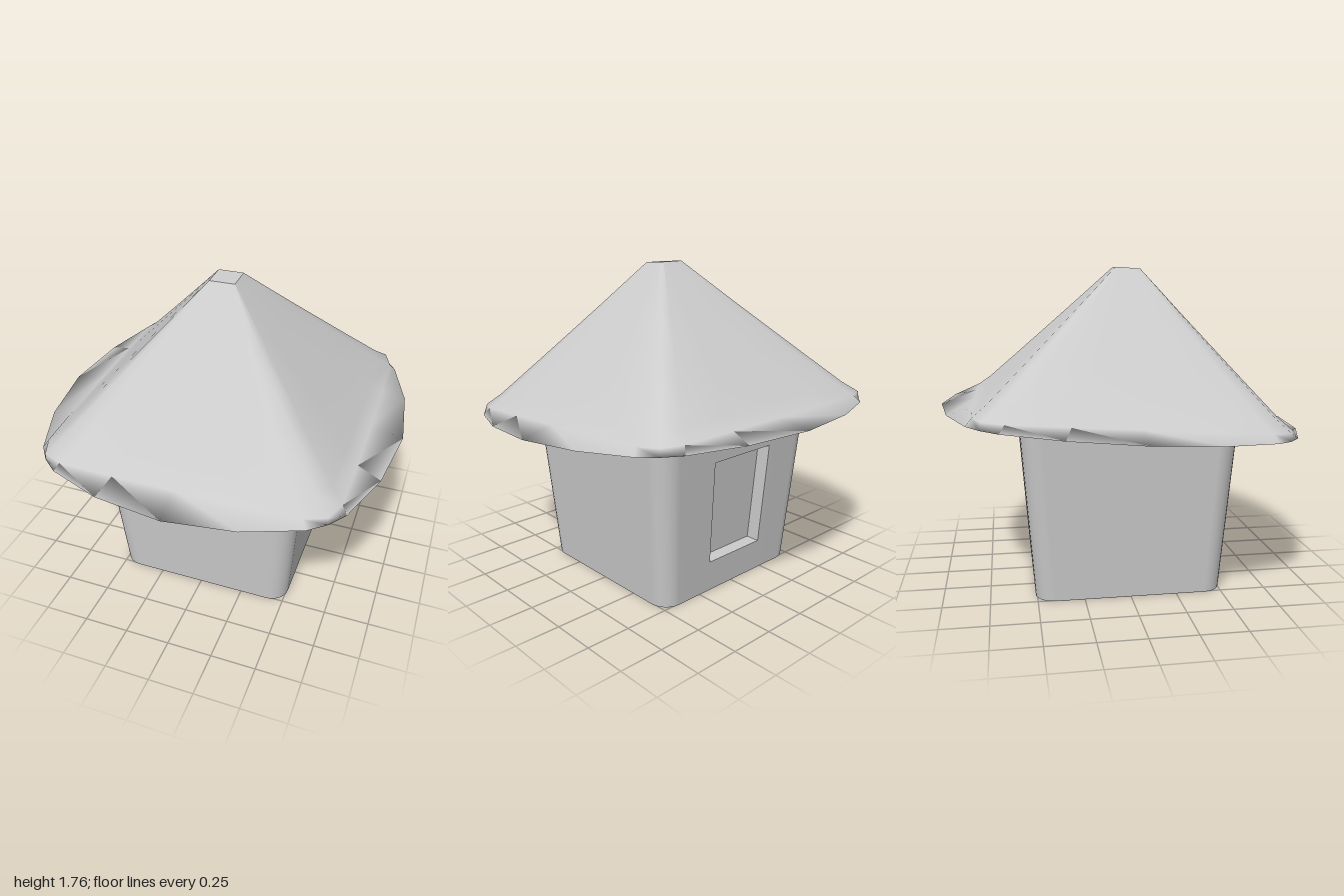
import * as THREE from 'three';

const grey = (flat = false) => new THREE.MeshStandardMaterial({
  color: 0xcccccc, side: THREE.DoubleSide, flatShading: flat });

// Skin a stack of closed rings (arrays of [x, y, z]); skip(i, j) leaves a hole
function loft(rings, skip = () => false) {
  const n = rings[0].length, index = [];
  for (let i = 0; i < rings.length - 1; i++) {
    for (let j = 0; j < n; j++) {
      if (skip(i, j)) continue;
      const k = (j + 1) % n;
      const a = i * n + j, b = i * n + k, c = a + n, d = b + n;
      index.push(a, c, d, a, d, b);
    }
  }
  const geo = new THREE.BufferGeometry();
  geo.setAttribute('position', new THREE.Float32BufferAttribute(rings.flat(2), 3));
  geo.setIndex(index);
  geo.computeVertexNormals();
  return geo;
}

// Repeat a quarter outline of [x, z] points four times around the y axis
function fourfold(quarter) {
  const out = [];
  for (let q = 0; q < 4; q++) {
    for (const [x, z] of quarter) {
      out.push([[x, z], [-z, x], [-x, -z], [z, -x]][q]);
    }
  }
  return out;
}

function add(group, name, geometry, flat) {
  const mesh = new THREE.Mesh(geometry, grey(flat));
  mesh.name = name;
  group.add(mesh);
  return mesh;
}

const ringAt = (outline, w, y) => outline.map(([x, z]) => [x * w, y, z * w]);

// Walls: rounded square widening upwards, open below, with a window in the back
function buildWalls() {
  const group = new THREE.Group();
  group.name = 'walls';
  const r = 0.2, steps = 6, outline = [];
  const corners = [[1, 1], [-1, 1], [-1, -1], [1, -1]];
  corners.forEach(([sx, sz], c) => {
    for (let s = 0; s <= steps; s++) {
      const a = (c + s / steps) * Math.PI / 2;
      outline.push([sx * (1 - r) + r * Math.cos(a), sz * (1 - r) + r * Math.sin(a)]);
    }
    if (c === 2) outline.push([-0.4, -1], [0.36, -1]);
  });
  const column = 3 * (steps + 1); // first window column
  const rings = [0, 0.18, 0.77, 1.1].map(y => ringAt(outline, 0.508 + 0.077 * y, y));
  add(group, 'wallShell', loft(rings, (i, j) => i === 1 && j === column));

  // Window recess: reveal around the opening plus a back panel
  const front = [rings[1][column], rings[1][column + 1], rings[2][column + 1], rings[2][column]];
  const back = front.map(([x, y, z]) => [x, y, z + 0.08]);
  const middle = [0, 1, 2].map(k => back.reduce((sum, p) => sum + p[k] / 4, 0));
  add(group, 'windowRecess', loft([front, back, back.map(() => middle)]), true);
  return group;
}

// Roof: hollow square pyramid with a brim that bows out along each side
function buildRoof() {
  const group = new THREE.Group();
  group.name = 'roof';
  const square = fourfold([[1, 0], [1, 0.42], [0.99, 0.8], [0.935, 0.935], [0.8, 0.99], [0.42, 1]]);
  const brim = fourfold([[1, 0], [0.95, 0.38], [0.84, 0.68], [0.77, 0.77], [0.68, 0.84], [0.38, 0.95]]);
  const tip = fourfold([[1, 0], [1, 0.5], [1, 0.92], [0.98, 0.98], [0.92, 1], [0.5, 1]]);
  const top = 0.82;

  // From the inner peak down the underside, around the brim, up the outside
  add(group, 'roofShell', loft([
    ringAt(square, 0.01, 0.68),
    ringAt(square, 0.6, 0.13),
    ringAt(square, 0.78, 0.015),
    ringAt(brim, 1, 0),
    ringAt(square, 0.82, 0.04),
    ringAt(square, 0.75, 0.1),
    ringAt(square, 0.55, 0.31),
    ringAt(square, 0.3, 0.575),
    ringAt(tip, 0.07, top),
  ]));
  add(group, 'roofCap', loft([ringAt(tip, 0.07, top), ringAt(tip, 0, top)]));

  // Tilted down towards the front
  group.position.y = 0.935;
  group.rotation.x = 0.065;
  return group;
}

export function createModel() {
  const model = new THREE.Group();
  model.name = 'hut';
  model.add(buildWalls(), buildRoof());
  return model;
}
